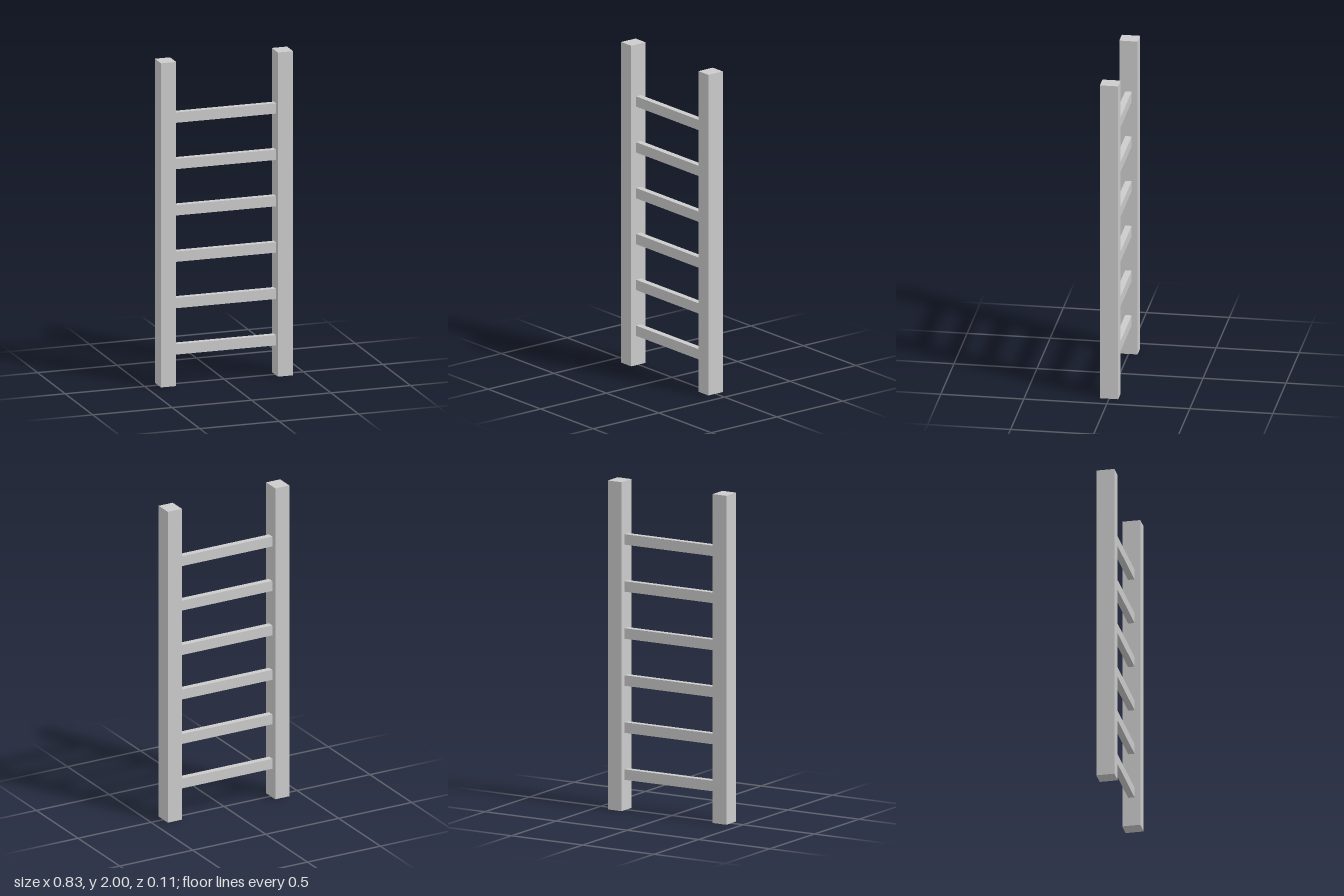
import * as THREE from 'three';

const RAIL = { width: 0.096, height: 2, depth: 0.11, x: 0.368 };
const RUNG = { height: 0.064, depth: 0.039, count: 6, first: 0.216, step: 0.286 };

export function createModel() {
  const ladder = new THREE.Group();
  ladder.name = 'ladder';
  const material = new THREE.MeshStandardMaterial({ color: 0xcccccc, flatShading: true });

  const addPart = (name, geometry, x, y) => {
    const mesh = new THREE.Mesh(geometry, material);
    mesh.name = name;
    mesh.position.set(x, y, 0);
    ladder.add(mesh);
  };

  // Two upright side rails
  const railGeometry = new THREE.BoxGeometry(RAIL.width, RAIL.height, RAIL.depth);
  addPart('leftRail', railGeometry, RAIL.x, RAIL.height / 2);
  addPart('rightRail', railGeometry, -RAIL.x, RAIL.height / 2);

  // Evenly spaced rungs spanning the gap between the rails
  const span = 2 * RAIL.x - RAIL.width;
  const rungGeometry = new THREE.BoxGeometry(span, RUNG.height, RUNG.depth);
  for (let i = 0; i < RUNG.count; i++) {
    addPart(`rung${i + 1}`, rungGeometry, 0, RUNG.first + i * RUNG.step);
  }

  return ladder;
}
